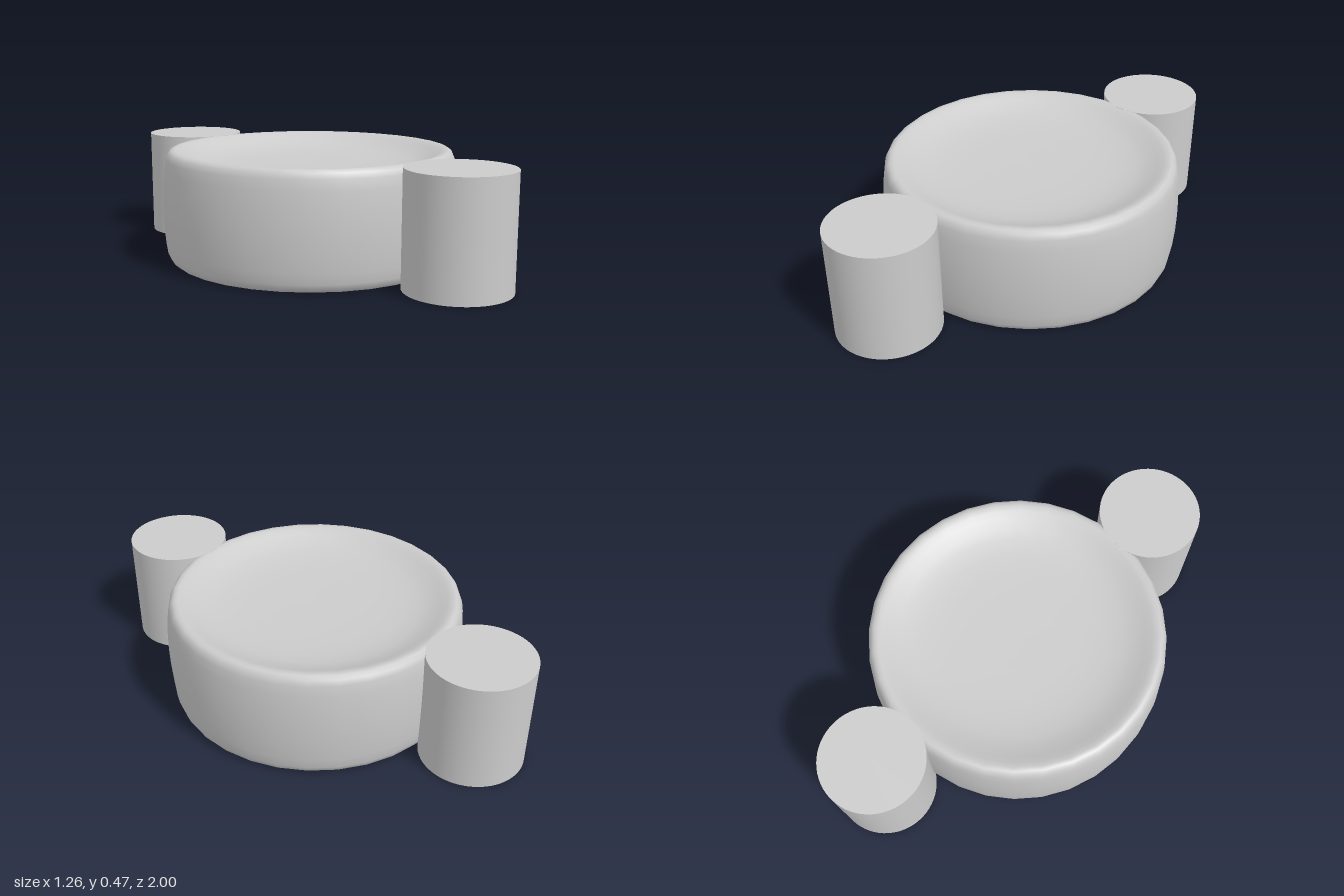
import * as THREE from 'three';

const HEIGHT = 0.47;

export function createModel() {
  const model = new THREE.Group();
  const material = new THREE.MeshStandardMaterial({ color: 0xcccccc });

  // Upper half of the disc profile: bulging wall, rounded rim, shallow dish
  const half = [
    [0.63, 0], [0.628, 0.08], [0.622, 0.155], [0.615, 0.2], [0.606, 0.222],
    [0.592, 0.234], [0.575, 0.235], [0.555, 0.228], [0.53, 0.216], [0.49, 0.197],
    [0.44, 0.181], [0.37, 0.17], [0.28, 0.164], [0.15, 0.161], [0, 0.16],
  ];
  const mirrored = half.slice(1).reverse().map(([r, y]) => [r, -y]);
  const profile = [...mirrored, ...half].map(([r, y]) => new THREE.Vector2(r, y + HEIGHT / 2));

  const disc = new THREE.Mesh(new THREE.LatheGeometry(profile, 32), material);
  disc.name = 'dishedDisc';
  model.add(disc);

  // Matching posts sunk slightly into the disc at front and back
  const postGeometry = new THREE.CylinderGeometry(0.215, 0.215, HEIGHT, 64);
  for (const [name, side] of [['frontPost', 1], ['backPost', -1]]) {
    const post = new THREE.Mesh(postGeometry, material);
    post.name = name;
    post.position.set(0, HEIGHT / 2, side * 0.785);
    model.add(post);
  }

  return model;
}
